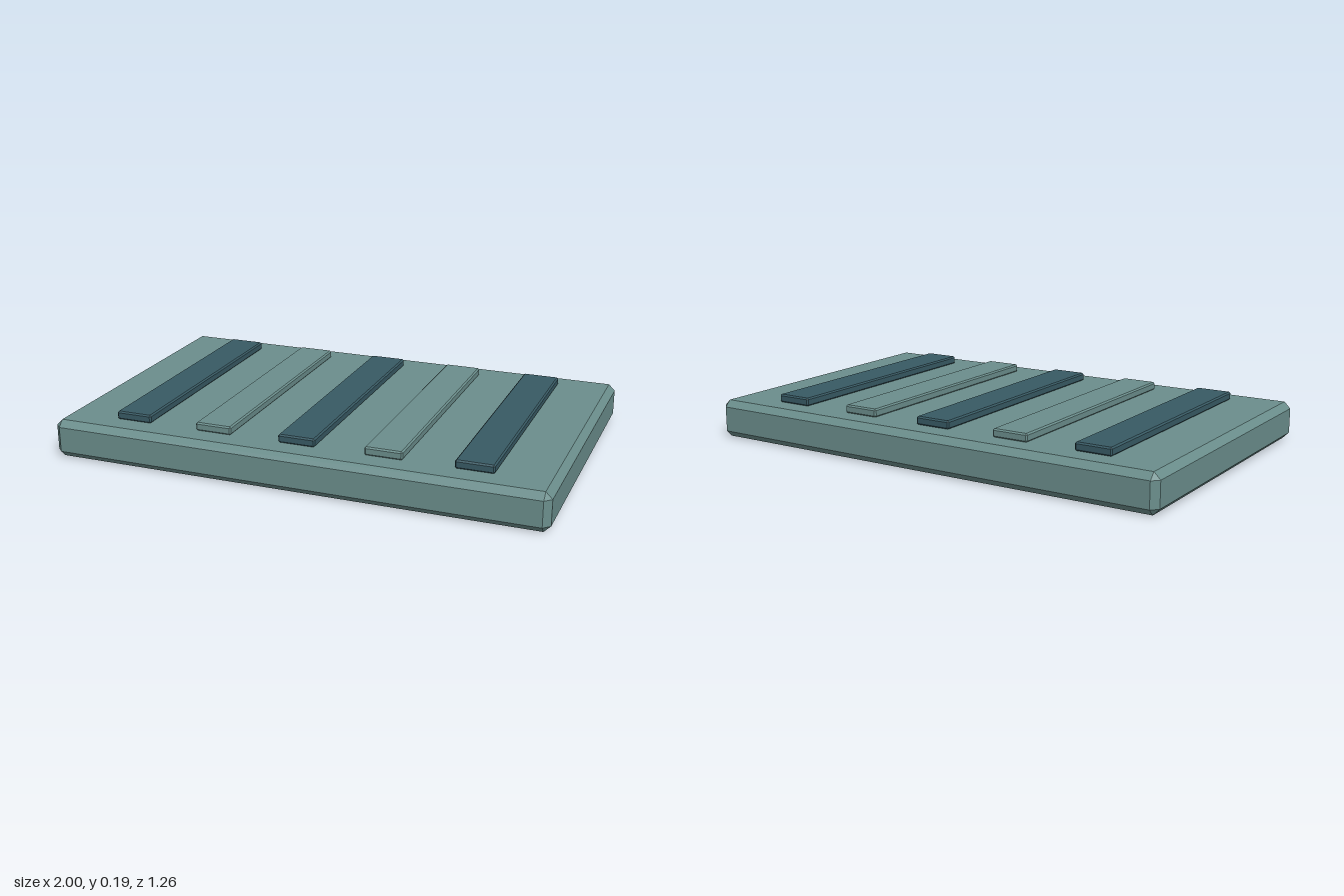
import * as THREE from 'three';
import { ConvexGeometry } from 'three/addons/geometries/ConvexGeometry.js';

// Box with every edge and corner cut flat by c, centred on the origin
function chamferedBox(w, h, d, c) {
  const points = [];
  for (const sx of [-1, 1]) for (const sy of [-1, 1]) for (const sz of [-1, 1]) {
    const x = w / 2, y = h / 2, z = d / 2;
    points.push(
      new THREE.Vector3(sx * x, sy * (y - c), sz * (z - c)),
      new THREE.Vector3(sx * (x - c), sy * y, sz * (z - c)),
      new THREE.Vector3(sx * (x - c), sy * (y - c), sz * z)
    );
  }
  return new ConvexGeometry(points);
}

export function createModel() {
  const group = new THREE.Group();
  group.name = 'slattedPanel';

  const paleTeal = new THREE.MeshStandardMaterial({ color: 0x6b8e8c });
  paleTeal.name = 'pale teal';
  const darkTeal = new THREE.MeshStandardMaterial({ color: 0x385a64 });
  darkTeal.name = 'dark teal';

  // Base slab
  const slabHeight = 0.154;
  const slab = new THREE.Mesh(chamferedBox(2, slabHeight, 1.26, 0.026), paleTeal);
  slab.name = 'slab';
  slab.position.y = slabHeight / 2;
  group.add(slab);

  // Raised slats in alternating colours
  const slatHeight = 0.034;
  const slatGeometry = chamferedBox(0.15, slatHeight, 1.044, 0.006);
  for (let i = 0; i < 5; i++) {
    const slat = new THREE.Mesh(slatGeometry, i % 2 ? paleTeal : darkTeal);
    slat.name = `slat${i + 1}`;
    slat.position.set((i - 2) * 0.348, slabHeight + slatHeight / 2 - 0.001, 0);
    group.add(slat);
  }

  return group;
}
